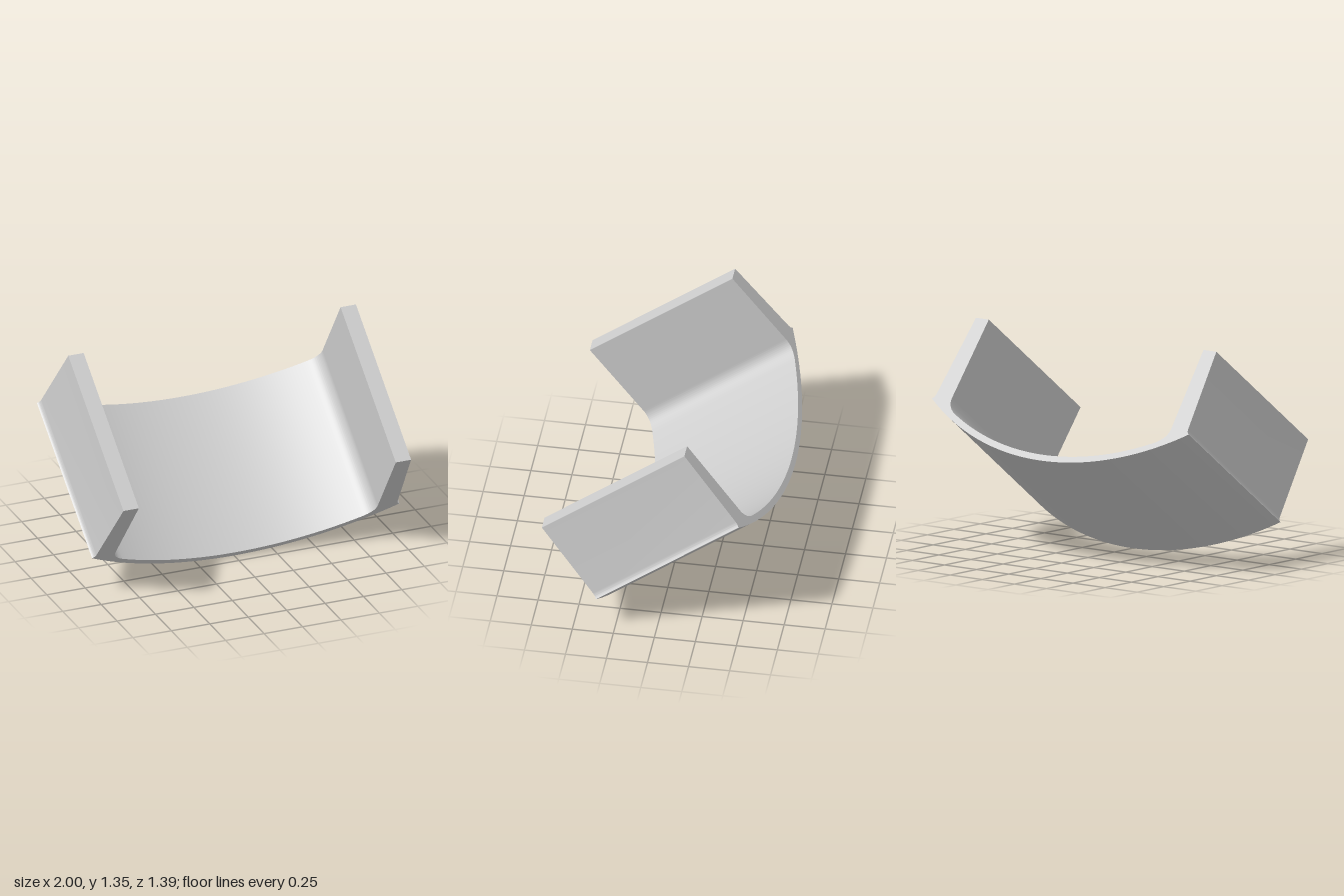
import * as THREE from 'three';
import { toCreasedNormals } from 'three/addons/utils/BufferGeometryUtils.js';

export function createModel() {
  const group = new THREE.Group();
  group.name = 'curvedBracket';

  // Cross-section: shallow concentric arcs joined by two leaning side walls
  const outerR = 1.787, innerR = 1.747, down = -Math.PI / 2;
  const outerA = Math.asin(1 / outerR), innerA = Math.asin(0.78 / innerR);
  const innerY = outerR - Math.sqrt(innerR ** 2 - 0.78 ** 2);
  const s = new THREE.Shape();
  s.absarc(0, outerR, outerR, down - outerA, down + outerA, false);
  // Left wall, with a small outer fillet and a larger inner one
  s.quadraticCurveTo(0.983, 0.314, 0.979, 0.34);
  s.lineTo(0.936, 0.872);
  s.lineTo(0.836, 0.872);
  s.lineTo(0.853, 0.335);
  s.quadraticCurveTo(0.857, 0.265, 0.78, innerY);
  s.absarc(0, outerR, innerR, down + innerA, down - innerA, true);
  // Right wall, mirrored
  s.quadraticCurveTo(-0.857, 0.265, -0.853, 0.335);
  s.lineTo(-0.836, 0.872);
  s.lineTo(-0.936, 0.872);
  s.lineTo(-0.979, 0.34);
  s.quadraticCurveTo(-0.983, 0.314, -1, 0.306);

  const extruded = new THREE.ExtrudeGeometry(s, { depth: 1.086, bevelEnabled: false, curveSegments: 24 });
  const bracket = new THREE.Mesh(
    toCreasedNormals(extruded, 0.4),
    new THREE.MeshStandardMaterial({ color: 0xcccccc })
  );
  bracket.name = 'curvedChannel';
  // Tilt so the channel slopes down toward the front
  bracket.rotation.x = Math.atan2(0.6, 0.8);
  bracket.position.set(0, 0.652, -0.696);
  group.add(bracket);
  return group;
}
